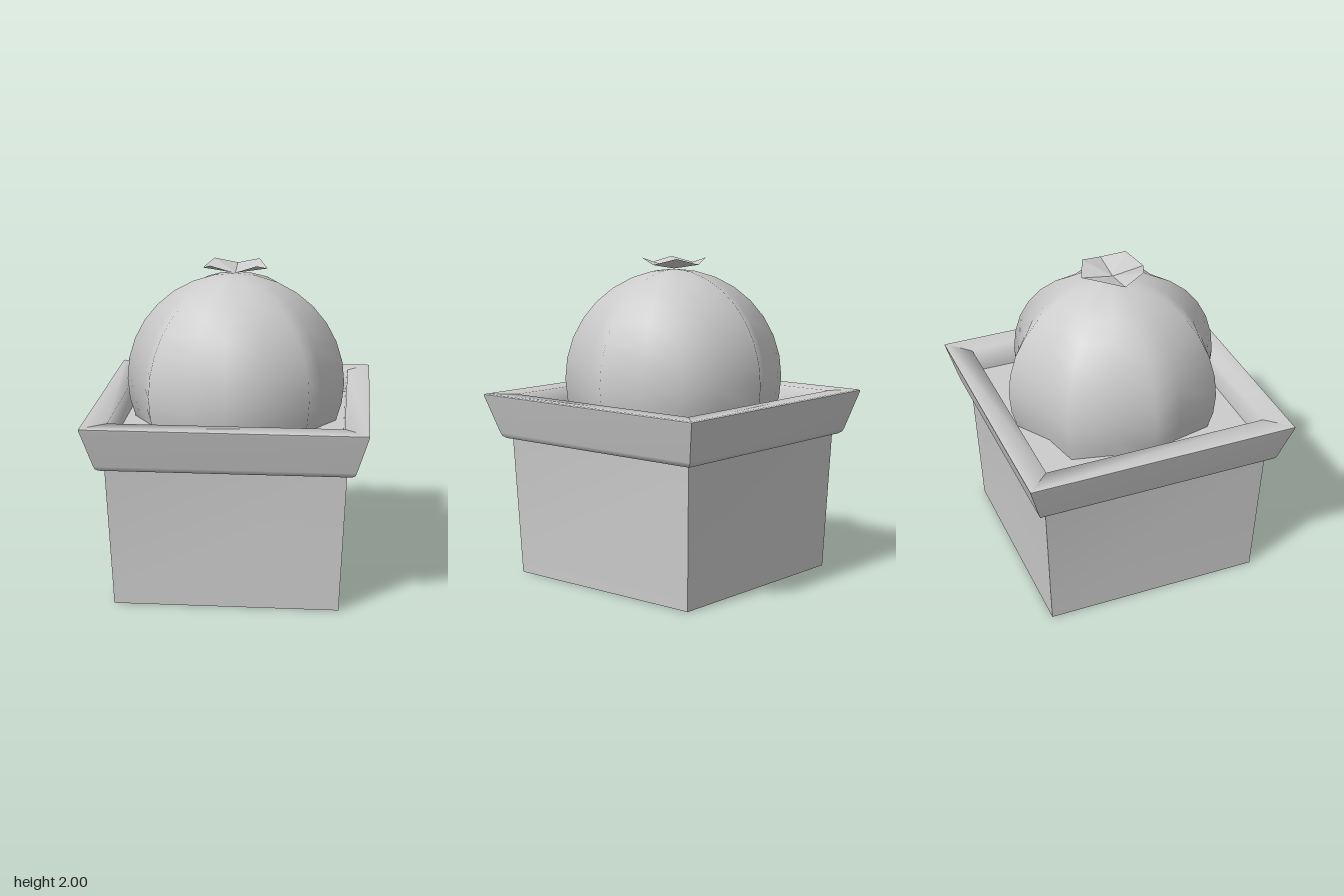
import * as THREE from 'three';
import { mergeVertices } from 'three/addons/utils/BufferGeometryUtils.js';

// Square strip: sweeps a [halfWidth, y] profile round four sides, smooth along
// the profile and sharp at the corners.
function squareSweep(profile) {
  const pos = [], idx = [];
  for (let s = 0; s < 4; s++) {
    const a = s * Math.PI / 2, c = Math.cos(a), n = Math.sin(a);
    const base = pos.length / 3;
    for (const [r, y] of profile) {
      for (const x of [-r, r]) pos.push(x * c + r * n, y, r * c - x * n);
    }
    for (let i = 0; i < profile.length - 1; i++) {
      const k = base + i * 2;
      idx.push(k, k + 1, k + 3, k, k + 3, k + 2);
    }
  }
  const g = new THREE.BufferGeometry();
  g.setAttribute('position', new THREE.Float32BufferAttribute(pos, 3));
  g.setIndex(idx);
  g.computeVertexNormals();
  return g;
}

// Ribbed ball: a 16-sided sphere with every second meridian pulled in.
function ribbedBall(radius, valley, centreY) {
  const g = new THREE.SphereGeometry(radius, 16, 10, 0, Math.PI * 2, 0, Math.PI * 0.625);
  const p = g.attributes.position;
  for (let i = 0; i < p.count; i++) {
    const k = (i % 17) % 2 ? valley / radius : 1;
    p.setXYZ(i, p.getX(i) * k, p.getY(i) + centreY, p.getZ(i) * k);
  }
  g.deleteAttribute('uv');
  g.deleteAttribute('normal');
  const merged = mergeVertices(g, 1e-4);
  merged.computeVertexNormals();
  return merged;
}

// Shallow eight-sided cup whose corners alternate in height.
function flowerCup(radius, apexY, lowY, highY) {
  const pos = [];
  const corner = i => {
    const a = i * Math.PI / 4;
    return [radius * Math.sin(a), i % 2 ? highY : lowY, radius * Math.cos(a)];
  };
  for (let i = 0; i < 8; i++) pos.push(0, apexY, 0, ...corner(i), ...corner(i + 1));
  const g = new THREE.BufferGeometry();
  g.setAttribute('position', new THREE.Float32BufferAttribute(pos, 3));
  g.computeVertexNormals();
  return g;
}

export function createModel() {
  const group = new THREE.Group();
  const grey = new THREE.MeshStandardMaterial({ color: 0xcccccc, side: THREE.DoubleSide });
  grey.name = 'plain grey';
  const add = (name, geometry) => {
    const mesh = new THREE.Mesh(geometry, grey);
    mesh.name = name;
    group.add(mesh);
    return mesh;
  };

  // Pot: tapered body and flared collar in one outer skin
  add('potOutside', squareSweep([
    [0.685, 0], [0.72, 0.865], [0.75, 0.872], [0.768, 0.886],
    [0.776, 0.905], [0.845, 1.14], [0.846, 1.15],
  ]));
  // Rim top rolling over into the inner wall
  add('potRim', squareSweep([[0.846, 1.15], [0.835, 1.155], [0.7, 1.15], [0.69, 1.0]]));

  // Flat panels
  const base = add('potBase', new THREE.PlaneGeometry(1.37, 1.37));
  base.rotation.x = Math.PI / 2;
  const soil = add('soil', new THREE.PlaneGeometry(1.38, 1.38));
  soil.rotation.x = -Math.PI / 2;
  soil.position.y = 1.0;

  // Plant
  add('cactusBody', ribbedBall(0.685, 0.588, 1.245));
  add('flower', flowerCup(0.2, 1.932, 1.962, 2.0));
  return group;
}
